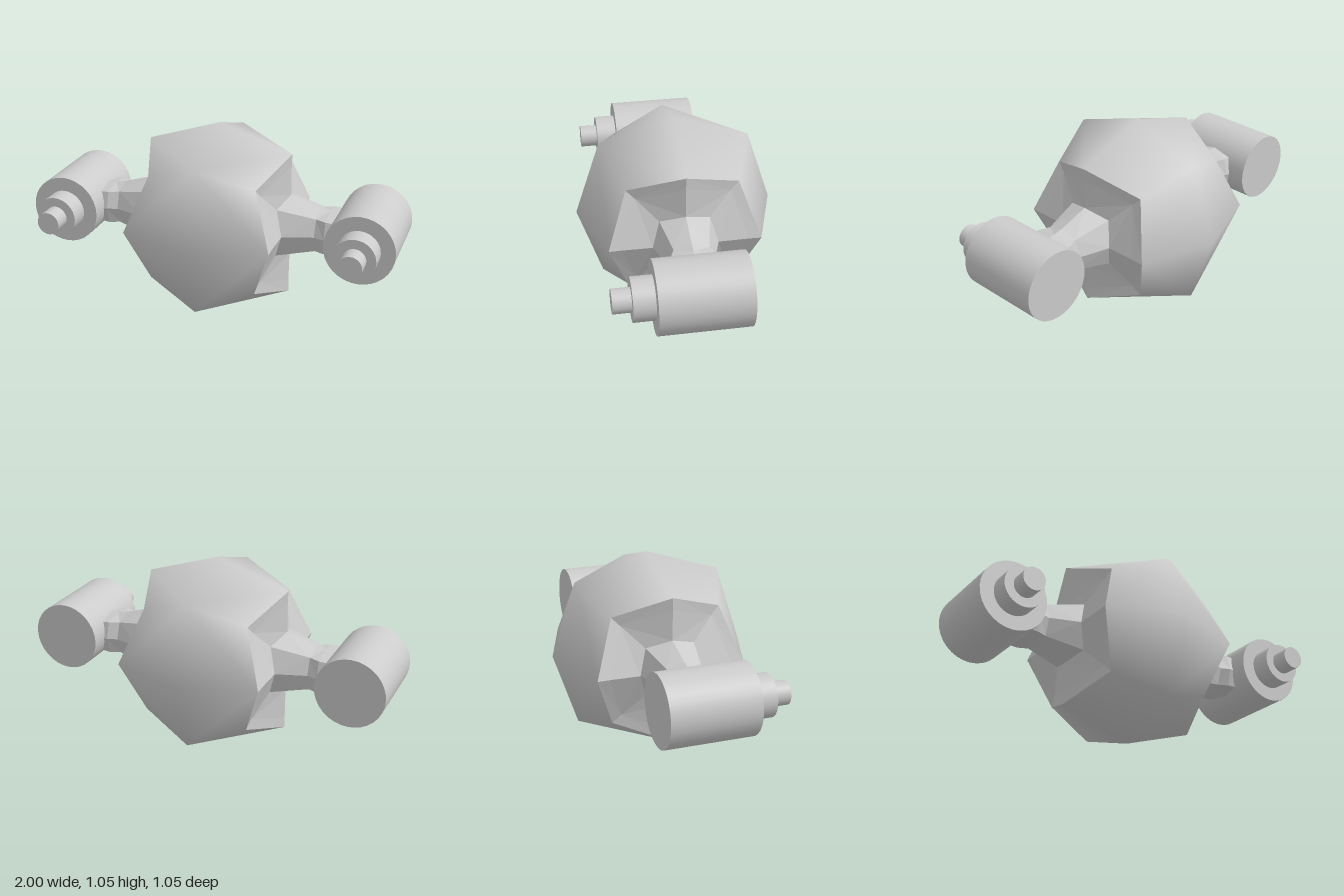
import * as THREE from 'three';

const MID = 0.525; // height of the body centre

// Eight points around the x axis: four on the axes, four on the diagonals
function ring(xAxis, rAxis, xDiag, diag, zScale = 1) {
  return Array.from({ length: 8 }, (_, j) => {
    const t = (j * Math.PI) / 4;
    const r = j % 2 ? diag * Math.SQRT2 : rAxis;
    return [j % 2 ? xDiag : xAxis, r * Math.cos(t), r * Math.sin(t) * zScale];
  });
}

// Skin over rings ordered outwards along +x
function loft(rings, flat) {
  const index = [];
  for (let r = 0; r < rings.length - 1; r++) {
    for (let j = 0; j < 8; j++) {
      const k = (j + 1) % 8;
      const a = r * 8 + j, b = r * 8 + k, c = a + 8, d = b + 8;
      if ((j + r) % 2 === 0) index.push(a, b, d, a, d, c);
      else index.push(a, b, c, b, d, c);
    }
  }
  let geo = new THREE.BufferGeometry();
  geo.setAttribute('position', new THREE.Float32BufferAttribute(rings.flat(2), 3));
  geo.setIndex(index);
  if (flat) geo = geo.toNonIndexed();
  geo.computeVertexNormals();
  return geo;
}

export function createModel() {
  const model = new THREE.Group();
  model.name = 'twinGunPod';
  const material = new THREE.MeshStandardMaterial({ color: 0xcccccc, side: THREE.DoubleSide });

  const add = (parent, name, geo) => {
    const mesh = new THREE.Mesh(geo, material);
    mesh.name = name;
    parent.add(mesh);
    return mesh;
  };

  // Rounded body shell, open on both sides
  const shell = add(model, 'bodyShell', loft([
    ring(-0.395, 0.395, -0.29, 0.29),
    ring(0, 0.525, 0, 0.395),
    ring(0.395, 0.395, 0.29, 0.29),
  ], false));
  shell.position.y = MID;

  // Faceted side plates with the arm growing out of them
  const socketGeo = loft([
    ring(0.395, 0.395, 0.29, 0.29),
    ring(0.393, 0.33, 0.302, 0.245),
    ring(0.395, 0.17, 0.355, 0.13),
  ], true);
  const armGeo = loft([
    ring(0.395, 0.17, 0.355, 0.13),
    ring(0.555, 0.12, 0.555, 0.09),
    ring(0.61, 0.11, 0.61, 0.09, 1.25),
    ring(0.68, 0.105, 0.68, 0.085, 1.3),
  ], true);

  // Gun sections: name, radius, back z, front z
  const sections = [
    ['gunBody', 0.185, -0.23, 0.228],
    ['gunCollar', 0.11, 0.228, 0.337],
    ['gunMuzzle', 0.061, 0.337, 0.43],
  ];

  for (const [side, s, gunY] of [['left', 1, 0.54], ['right', -1, 0.528]]) {
    const arm = new THREE.Group();
    arm.name = side + 'Arm';
    arm.position.y = MID;
    if (s < 0) arm.rotation.y = Math.PI;
    add(arm, side + 'SidePlates', socketGeo);
    add(arm, side + 'ArmStrut', armGeo);
    model.add(arm);

    const gun = new THREE.Group();
    gun.name = side + 'Gun';
    gun.position.set(s * 0.814, gunY, 0);
    for (const [name, radius, z0, z1] of sections) {
      const geo = new THREE.CylinderGeometry(radius, radius, z1 - z0, 32).rotateX(Math.PI / 2);
      add(gun, name, geo).position.z = (z0 + z1) / 2;
    }
    model.add(gun);
  }
  return model;
}
